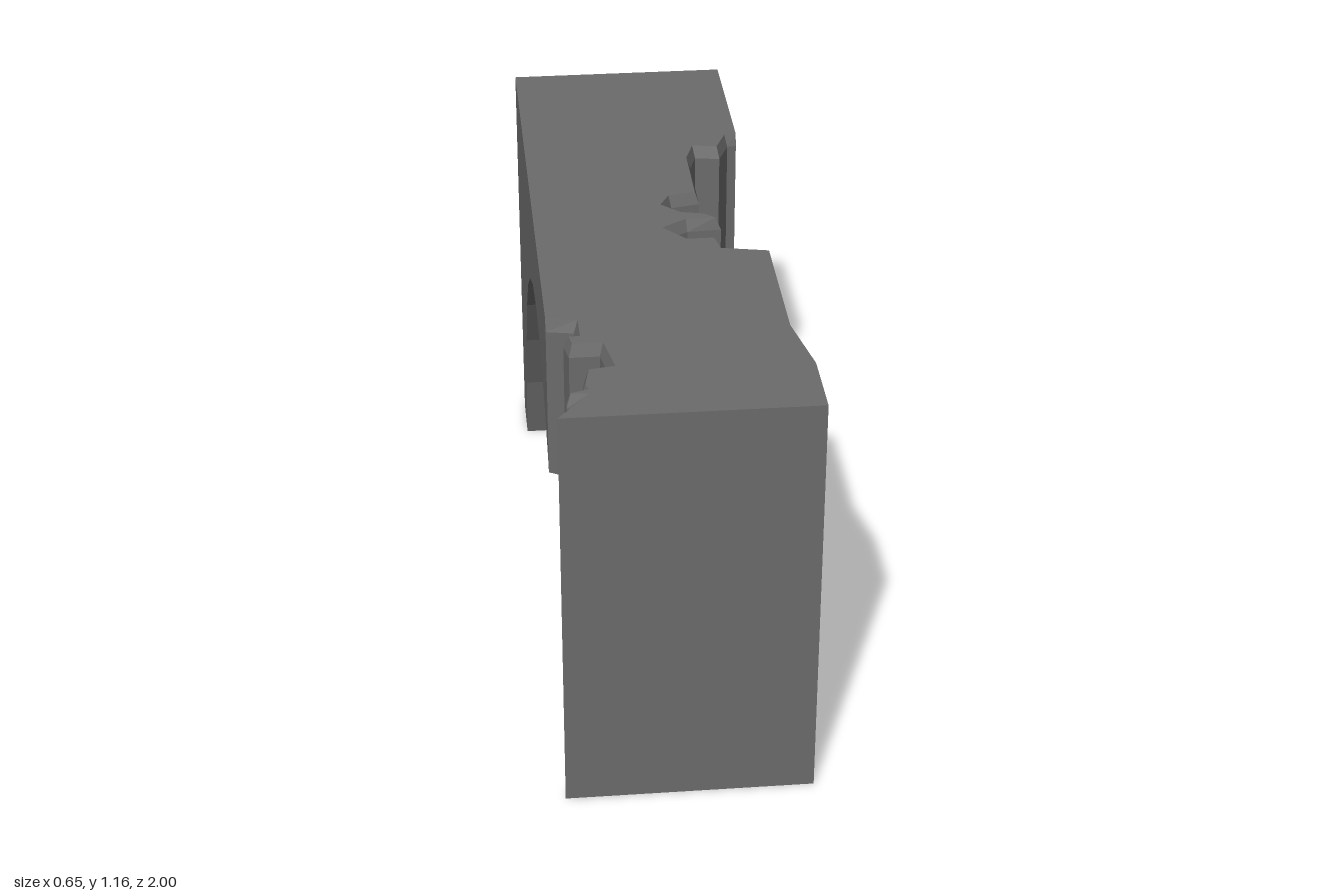
import * as THREE from 'three';

const TOP = 1.16, BEVEL_Y = 1.125, BEVEL = 0.011;

// Underside of the arch: [z, height], back to front
const ARCH = [
  [-1, 0], [-0.84, 0], [-0.79, 0.21], [-0.706, 0.41], [-0.604, 0.59], [-0.476, 0.73],
  [-0.326, 0.83], [-0.16, 0.9], [0.005, 0.92], [0.176, 0.9], [0.348, 0.83], [0.49, 0.73],
  [0.62, 0.59], [0.727, 0.41], [0.807, 0.21], [0.856, 0], [1, 0],
];

// Plan of the ruin: [x, z]
const backEdge = [[-0.328, -1], [0.288, -1]];
const brokenLeft = [
  [0.288, -0.532], [0.262, -0.527], [0.23, -0.448], [0.161, -0.46], [0.14, -0.394], [0.14, -0.167],
  [0.061, -0.15], [0.04, -0.108], [0.082, -0.066], [0.145, -0.05], [0.183, -0.008], [0.09, -0.002],
  [0.034, 0.034], [0.082, 0.093], [0.16, 0.093], [0.172, 0.156], [0.288, 0.183],
];
const frontEdge = [[0.288, 0.6], [0.325, 0.796], [0.325, 1], [-0.328, 1]];
const brokenRight = [
  [-0.257, 0.897], [-0.3, 0.897], [-0.3, 0.876], [-0.257, 0.862], [-0.262, 0.85], [-0.246, 0.765],
  [-0.183, 0.754], [-0.2, 0.653], [-0.278, 0.653], [-0.288, 0.595], [-0.257, 0.595],
  [-0.257, 0.53], [-0.328, 0.516],
];
const PLAN = [...backEdge, ...brokenLeft, ...frontEdge, ...brokenRight];

function archHeight(z) {
  for (let i = 1; i < ARCH.length; i++) {
    const [z0, h0] = ARCH[i - 1], [z1, h1] = ARCH[i];
    if (z <= z1) return h0 + (h1 - h0) * Math.max(0, (z - z0) / (z1 - z0));
  }
  return 0;
}

// Top outline: broken edges are set back a little to form the worn bevel
function insetPlan() {
  const broken = new Set([...brokenLeft, ...brokenRight]);
  const normal = (a, b) => {
    const l = Math.hypot(b[0] - a[0], b[1] - a[1]);
    return [(b[1] - a[1]) / l, (a[0] - b[0]) / l];
  };
  return PLAN.map((p, i) => {
    if (!broken.has(p)) return p;
    const n = normal(PLAN[i - 1], p), m = normal(p, PLAN[(i + 1) % PLAN.length]);
    const k = BEVEL / Math.max(0.6, 1 + n[0] * m[0] + n[1] * m[1]);
    const onFace = p[0] === 0.288 || p[0] === -0.328;
    return [onFace ? p[0] : p[0] - (n[0] + m[0]) * k, p[1] - (n[1] + m[1]) * k];
  });
}

// Keep the part of a polygon where side * z >= side * limit
function clipZ(poly, limit, side) {
  const out = [];
  poly.forEach((a, i) => {
    const b = poly[(i + 1) % poly.length];
    const da = side * (a[1] - limit), db = side * (b[1] - limit);
    if (da >= 0) out.push(a);
    if (da * db < 0) {
      const t = da / (da - db);
      out.push([a[0] + (b[0] - a[0]) * t, limit]);
    }
  });
  return out;
}

// Triangulate a plan polygon, facing up or down
function pushPlan(pos, poly, height, up) {
  const pts = poly.map(([x, z]) => new THREE.Vector2(x, z));
  for (const face of THREE.ShapeUtils.triangulateShape(pts, [])) {
    const [a, b, c] = face.map((i) => poly[i]);
    const area = (b[0] - a[0]) * (c[1] - a[1]) - (b[1] - a[1]) * (c[0] - a[0]);
    if (Math.abs(area) < 1e-9) continue;
    const tri = (area < 0) === up ? [a, b, c] : [a, c, b];
    for (const [x, z] of tri) pos.push(x, height(z), z);
  }
}

function pushQuad(pos, a, b, c, d) {
  pos.push(...a, ...b, ...c, ...a, ...c, ...d);
}

function makeMesh(name, pos, material) {
  const geo = new THREE.BufferGeometry();
  geo.setAttribute('position', new THREE.Float32BufferAttribute(pos, 3));
  geo.computeVertexNormals();
  const mesh = new THREE.Mesh(geo, material);
  mesh.name = name;
  return mesh;
}

export function createModel() {
  const stone = new THREE.MeshStandardMaterial({ color: 0x6b6b6b });
  stone.name = 'grey stone';
  const group = new THREE.Group();
  group.name = 'ruinedArch';
  const topPlan = insetPlan();

  // Flat deck
  const deck = [];
  pushPlan(deck, topPlan, () => TOP, true);
  group.add(makeMesh('deck', deck, stone));

  // Faceted vault and feet, one strip per arch segment
  const vault = [];
  for (let i = 1; i < ARCH.length; i++) {
    const strip = clipZ(clipZ(PLAN, ARCH[i - 1][0], 1), ARCH[i][0], -1);
    if (strip.length > 2) pushPlan(vault, strip, archHeight, false);
  }
  group.add(makeMesh('vault', vault, stone));

  // Walls follow the plan down to the arch, with a bevel at the top
  const walls = [];
  PLAN.forEach((a, i) => {
    const j = (i + 1) % PLAN.length, b = PLAN[j];
    const ta = topPlan[i], tb = topPlan[j];
    pushQuad(walls, [ta[0], TOP, ta[1]], [tb[0], TOP, tb[1]],
      [b[0], BEVEL_Y, b[1]], [a[0], BEVEL_Y, a[1]]);
    const cuts = ARCH.map(([z]) => (z - a[1]) / (b[1] - a[1])).filter((t) => t > 0 && t < 1);
    const ts = [0, ...cuts.sort((s, t) => s - t), 1];
    const at = (t) => [a[0] + (b[0] - a[0]) * t, a[1] + (b[1] - a[1]) * t];
    for (let k = 1; k < ts.length; k++) {
      const p = at(ts[k - 1]), q = at(ts[k]);
      pushQuad(walls, [p[0], BEVEL_Y, p[1]], [q[0], BEVEL_Y, q[1]],
        [q[0], archHeight(q[1]), q[1]], [p[0], archHeight(p[1]), p[1]]);
    }
  });
  group.add(makeMesh('walls', walls, stone));

  return group;
}
